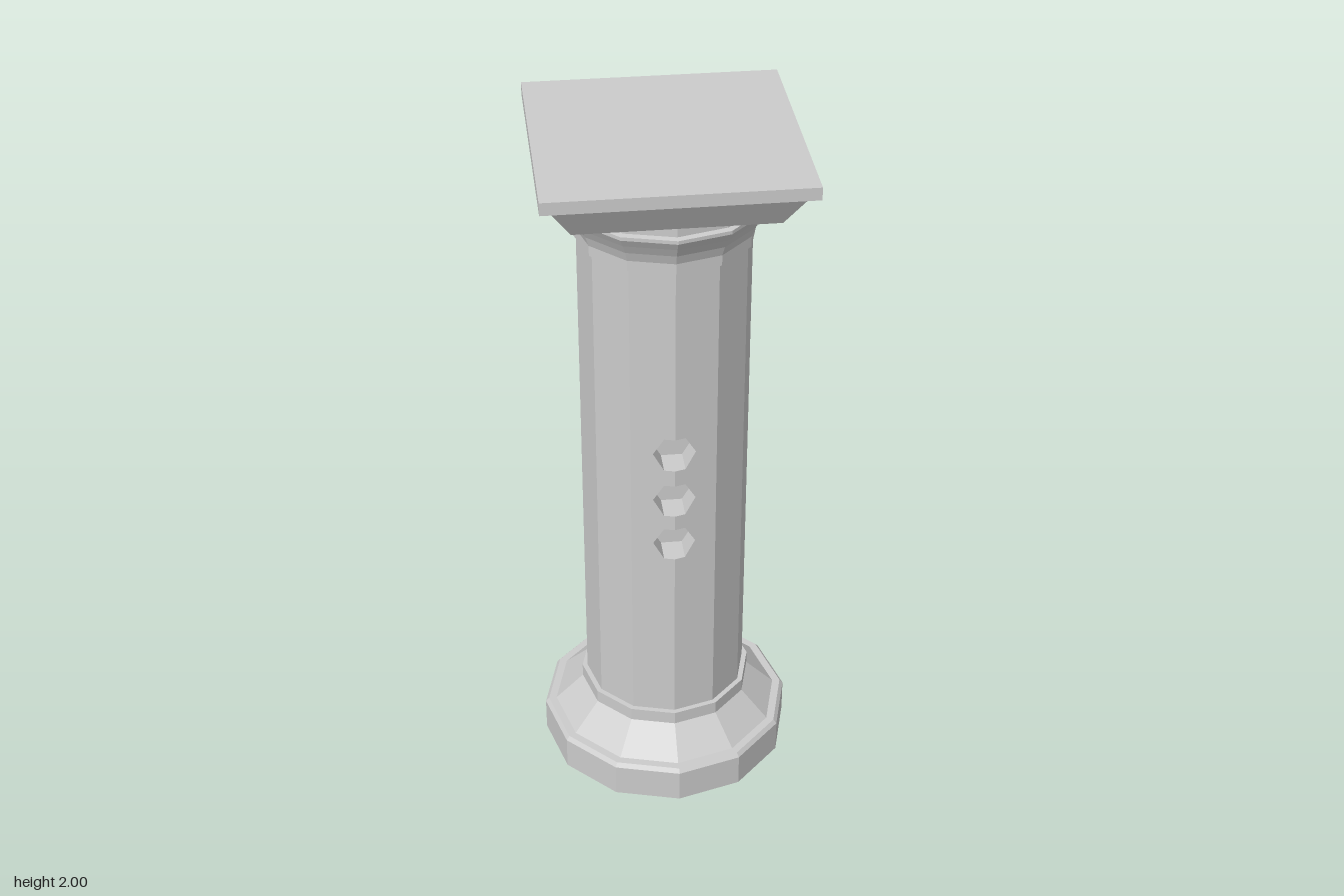
import * as THREE from 'three';

const SIDES = 12, R = 0.237, Y0 = 0.2, Y1 = 1.75;
const HOLE_R = 0.059, HOLE_H = HOLE_R * Math.sin(Math.PI / 3), FLOOR_Z = 0.155;
const HOLE_YS = [0.848, 0.997, 1.15];
const material = new THREE.MeshStandardMaterial({ color: 0xcccccc, flatShading: true });

// Depth of the two front facets, which meet in a crease at x = 0
const facetZ = (x) => R - Math.abs(x) * Math.tan(Math.PI / SIDES);

function add(parent, name, geometry, y = 0) {
  const mesh = new THREE.Mesh(geometry, material);
  mesh.name = name;
  mesh.position.y = y;
  parent.add(mesh);
  return mesh;
}

function turned(points) {
  return new THREE.LatheGeometry(points.map(([r, y]) => new THREE.Vector2(r, y)), SIDES);
}

// Square block or frustum given by its half widths
function squareBlock(top, bottom, height) {
  return new THREE.CylinderGeometry(top * Math.SQRT2, bottom * Math.SQRT2, height, 4).rotateY(Math.PI / 4);
}

// One front facet with half of each hexagonal opening cut from its inner edge
function notchedFacet(side) {
  const w = R * Math.sin((2 * Math.PI) / SIDES);
  const pts = [[0, Y0]];
  for (const y of HOLE_YS) {
    pts.push([0, y - HOLE_H], [HOLE_R / 2, y - HOLE_H], [HOLE_R, y], [HOLE_R / 2, y + HOLE_H], [0, y + HOLE_H]);
  }
  pts.push([0, Y1], [w, Y1], [w, Y0]);
  const geo = new THREE.ShapeGeometry(new THREE.Shape(pts.map(([x, y]) => new THREE.Vector2(x * side, y))));
  const p = geo.attributes.position;
  for (let i = 0; i < p.count; i++) p.setZ(i, facetZ(p.getX(i)));
  geo.computeVertexNormals();
  return geo;
}

// Inner walls and floor of a hexagonal recess
function recess() {
  const r = HOLE_R, h = HOLE_H;
  const rim = [[0, -h], [r / 2, -h], [r, 0], [r / 2, h], [0, h], [-r / 2, h], [-r, 0], [-r / 2, -h]];
  const v = [];
  rim.forEach(([ax, ay], i) => {
    const [bx, by] = rim[(i + 1) % rim.length];
    const a = [ax, ay, facetZ(ax)], b = [bx, by, facetZ(bx)];
    const a2 = [ax, ay, FLOOR_Z], b2 = [bx, by, FLOOR_Z];
    v.push(...a, ...b, ...b2, ...a, ...b2, ...a2);
    v.push(0, 0, FLOOR_Z, ...a2, ...b2);
  });
  const geo = new THREE.BufferGeometry();
  geo.setAttribute('position', new THREE.Float32BufferAttribute(v, 3));
  geo.computeVertexNormals();
  return geo;
}

export function createModel() {
  const model = new THREE.Group();
  model.name = 'column';

  // Base: plinth, sloped foot and collar
  add(model, 'base', turned([
    [0, 0], [0.368, 0], [0.368, 0.1], [0.358, 0.112], [0.335, 0.112],
    [0.252, 0.195], [0.252, 0.235], [R - 0.01, 0.235],
  ]));

  // Shaft: plain sides plus recessed front and back
  const shaft = new THREE.Group();
  shaft.name = 'shaft';
  model.add(shaft);
  for (const turn of [0, Math.PI]) {
    const face = new THREE.Group();
    face.name = turn ? 'backHalf' : 'frontHalf';
    face.rotation.y = turn;
    shaft.add(face);
    const plain = new THREE.CylinderGeometry(R, R, Y1 - Y0, 4, 1, true, Math.PI / 6, (Math.PI * 2) / 3);
    add(face, 'plainSide', plain, (Y0 + Y1) / 2);
    for (const side of [-1, 1]) add(face, 'notchedFacet', notchedFacet(side));
    for (const y of HOLE_YS) add(face, 'hexRecess', recess(), y);
  }

  // Capital: flared bell with a narrow neck ring on top
  add(model, 'capitalBell', turned([
    [R - 0.01, 1.72], [0.246, 1.72], [0.246, 1.75], [0.256, 1.778], [0.271, 1.805],
    [0.285, 1.828], [0.285, 1.838], [0.268, 1.84], [0.268, 1.866], [0, 1.866],
  ]));

  // Square top: flared block and slab
  add(model, 'flaredBlock', squareBlock(0.328, 0.268, 0.102), 1.915);
  add(model, 'topSlab', squareBlock(0.349, 0.349, 0.035), 1.9825);

  return model;
}
